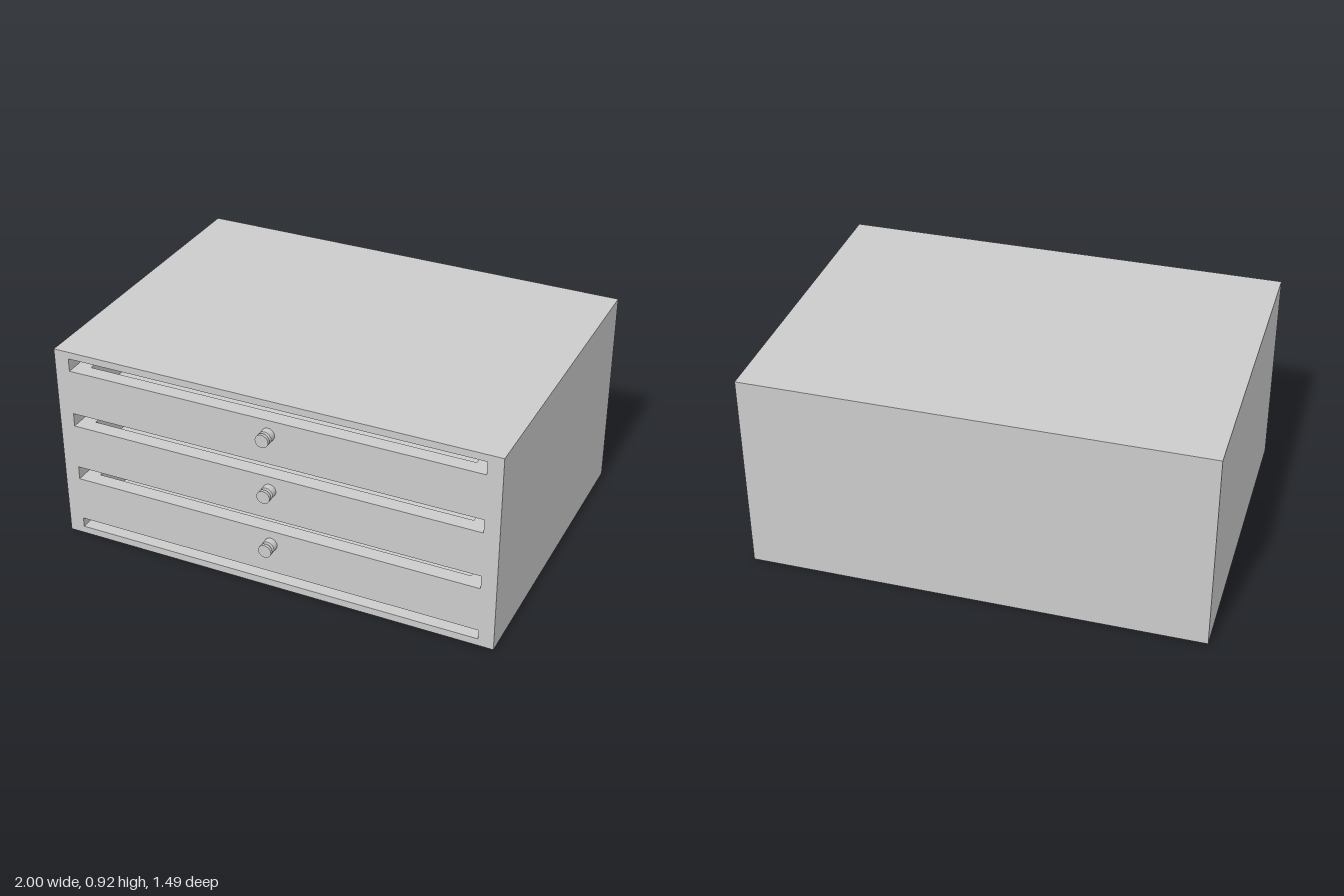
import * as THREE from 'three';

const material = new THREE.MeshStandardMaterial({ color: 0xcccccc, flatShading: true });
const FRONT = 0.686, BACK = -0.745, WALL = 0.065;
const HALF_W = 0.932; // half width of the opening

function rect(Type, x, y0, y1) {
  const s = new Type();
  s.moveTo(-x, y0).lineTo(x, y0).lineTo(x, y1).lineTo(-x, y1).closePath();
  return s;
}

function add(parent, name, geometry) {
  const mesh = new THREE.Mesh(geometry, material);
  mesh.name = name;
  parent.add(mesh);
  return mesh;
}

// Open-topped tray: a rectangular ring of walls around a floor slab
function createDrawer(bottom) {
  const drawer = new THREE.Group();
  const height = 0.208, floor = 0.067;
  const depth = FRONT - (BACK + WALL);
  const outline = rect(THREE.Shape, HALF_W, -depth / 2, depth / 2);
  outline.holes.push(rect(THREE.Path, HALF_W - WALL, -depth / 2 + WALL, depth / 2 - WALL));
  const walls = new THREE.ExtrudeGeometry(outline, { depth: height, bevelEnabled: false });
  walls.rotateX(-Math.PI / 2);
  add(drawer, 'drawerWalls', walls);

  const slab = new THREE.BoxGeometry(2 * (HALF_W - WALL), floor, depth - 2 * WALL);
  add(drawer, 'drawerFloor', slab).position.y = floor / 2;

  // Turned knob with a waist behind its cap
  const profile = [[0, 0], [0.03, 0], [0.03, 0.031], [0.02, 0.034], [0.02, 0.041],
    [0.03, 0.045], [0.03, 0.059], [0, 0.059]].map(([r, y]) => new THREE.Vector2(r, y));
  const knob = add(drawer, 'knob', new THREE.LatheGeometry(profile, 16));
  knob.rotation.x = Math.PI / 2;
  knob.position.set(0, 0.142, depth / 2);

  drawer.position.set(0, bottom, FRONT - depth / 2);
  return drawer;
}

export function createModel() {
  const model = new THREE.Group();
  model.name = 'drawerCabinet';

  // Cabinet shell, open at the front
  const outer = rect(THREE.Shape, 1, 0, 0.915);
  outer.holes.push(rect(THREE.Path, HALF_W, 0.033, 0.883));
  const shell = new THREE.ExtrudeGeometry(outer, { depth: FRONT - BACK - WALL, bevelEnabled: false });
  add(model, 'cabinetShell', shell).position.z = BACK + WALL;

  // Back panel
  const back = add(model, 'backPanel', new THREE.BoxGeometry(2, 0.915, WALL));
  back.position.set(0, 0.915 / 2, BACK + WALL / 2);

  // Three drawers stacked with gaps between them
  for (let i = 0; i < 3; i++) {
    const drawer = createDrawer(0.077 + i * 0.2695);
    drawer.name = 'drawer' + (i + 1);
    model.add(drawer);
  }
  return model;
}
